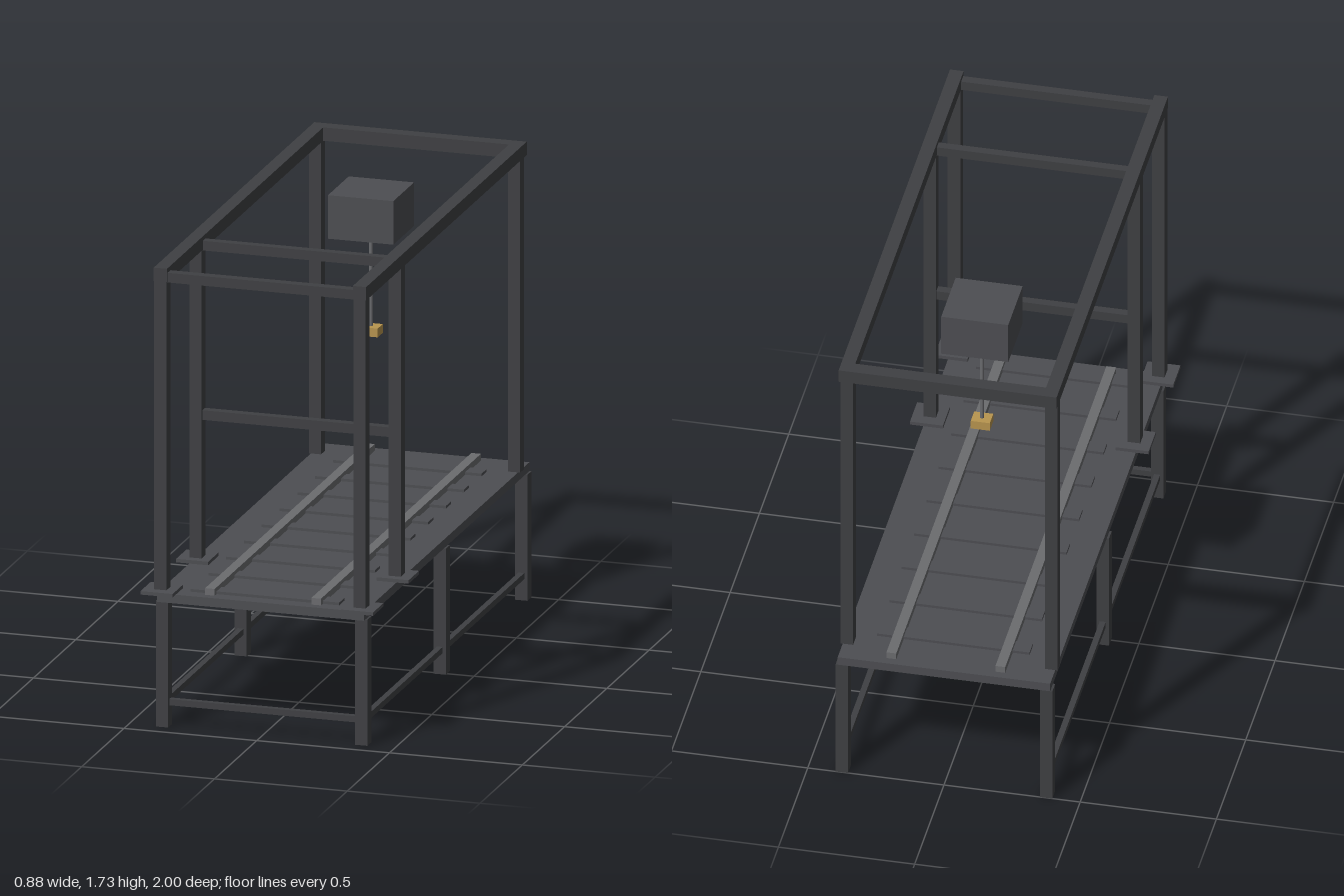
import * as THREE from 'three';

const paint = (color) => new THREE.MeshStandardMaterial({ color });

export function createModel() {
  const model = new THREE.Group();
  const frameMat = paint(0x3f4043);
  const deckMat = paint(0x4d4e52);
  const railMat = paint(0x6b6c6f);
  const tipMat = paint(0xb8954f);

  // Box given by its [min, max] extents on each axis
  function bar(name, mat, [x0, x1], [y0, y1], [z0, z1]) {
    const mesh = new THREE.Mesh(new THREE.BoxGeometry(x1 - x0, y1 - y0, z1 - z0), mat);
    mesh.position.set((x0 + x1) / 2, (y0 + y1) / 2, (z0 + z1) / 2);
    mesh.name = name;
    model.add(mesh);
  }
  // Same box on the left and the right side
  function pair(name, mat, [x0, x1], y, z) {
    bar(name + 'Left', mat, [x0, x1], y, z);
    bar(name + 'Right', mat, [-x1, -x0], y, z);
  }

  // Table: deck, six legs and low braces
  bar('deck', deckMat, [-0.39, 0.39], [0.472, 0.505], [-1, 0.957]);
  for (const z of [0.918, -0.011, -0.976]) {
    pair('leg', frameMat, [0.352, 0.398], [0, 0.472], [z - 0.024, z + 0.024]);
  }
  pair('sideBrace', frameMat, [0.364, 0.386], [0.08, 0.103], [-0.976, 0.918]);
  bar('frontBrace', frameMat, [-0.36, 0.36], [0.08, 0.103], [0.907, 0.929]);

  // Track: nine sleepers under two rails
  for (let i = 0; i < 9; i++) {
    const z = -0.811 + i * 0.2106;
    bar('sleeper', deckMat, [-0.28, 0.28], [0.505, 0.515], [z - 0.03, z + 0.03]);
  }
  pair('rail', railMat, [0.182, 0.218], [0.505, 0.53], [-0.968, 0.925]);

  // Gantry posts, the front four standing on foot plates
  for (const z of [0.938, 0.522, -0.89]) {
    pair('post', frameMat, [0.352, 0.398], [0.505, 1.677], [z - 0.024, z + 0.024]);
  }
  for (const z of [0.938, 0.517]) {
    pair('footPlate', deckMat, [0.317, 0.438], [0.507, 0.52], [z - 0.061, z + 0.061]);
  }

  // Top frame and crossbars
  pair('topBeam', frameMat, [0.35, 0.4], [1.675, 1.725], [-0.938, 0.962]);
  bar('backBeam', frameMat, [-0.35, 0.35], [1.675, 1.725], [-0.938, -0.885]);
  bar('frontCrossbar', frameMat, [-0.36, 0.36], [1.672, 1.708], [0.92, 0.955]);
  bar('upperCrossbar', frameMat, [-0.36, 0.36], [1.672, 1.708], [0.505, 0.537]);
  bar('middleCrossbar', frameMat, [-0.36, 0.36], [1.037, 1.073], [0.505, 0.537]);

  // Hanging tool: housing, rod and tip
  bar('toolHousing', deckMat, [-0.123, 0.123], [1.517, 1.68], [-0.475, -0.229]);
  const rod = new THREE.Mesh(new THREE.CylinderGeometry(0.007, 0.007, 0.37, 12), railMat);
  rod.position.set(0, 1.342, -0.351);
  rod.name = 'toolRod';
  model.add(rod);
  bar('toolTip', tipMat, [-0.035, 0.035], [1.135, 1.168], [-0.381, -0.321]);

  return model;
}
